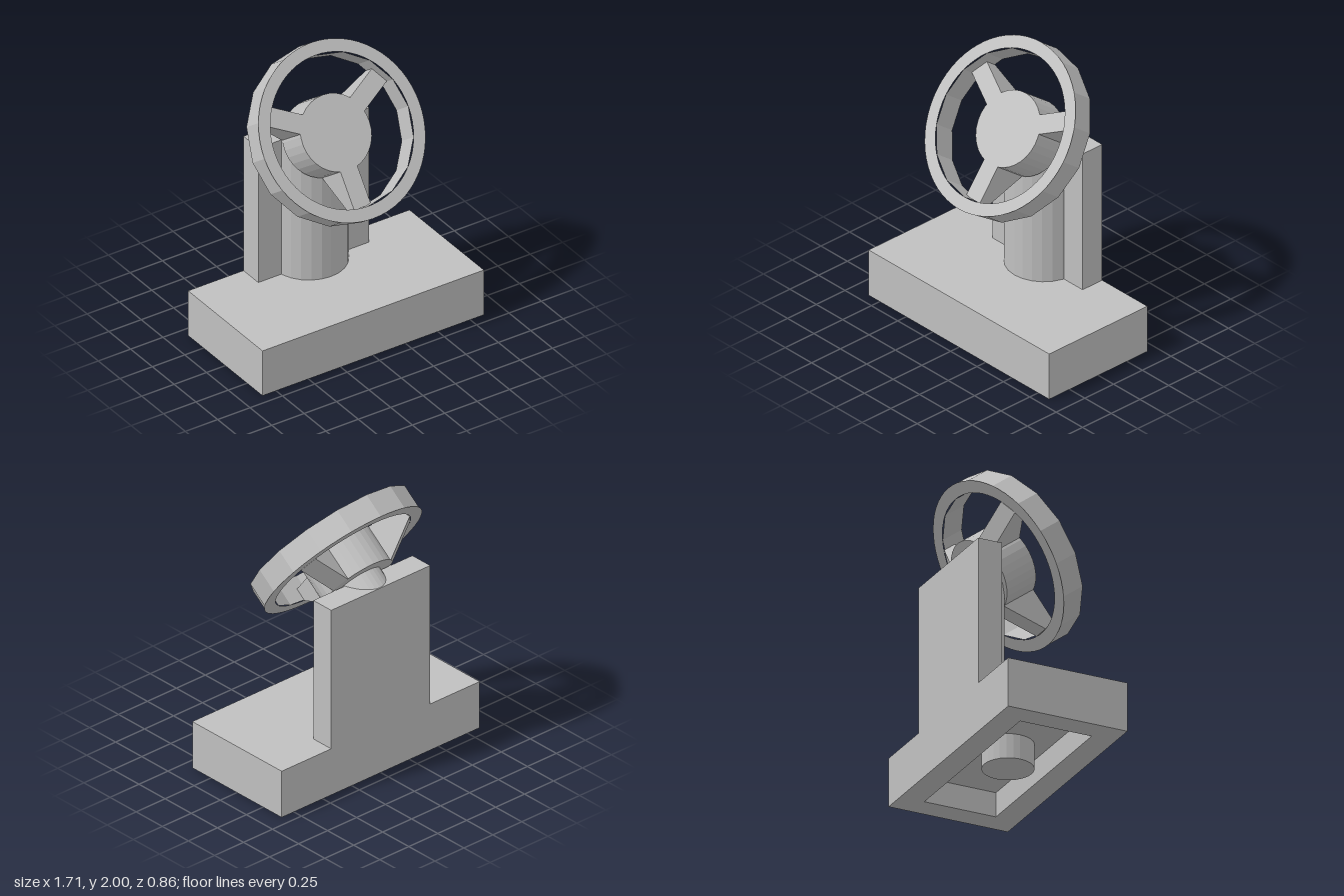
import * as THREE from 'three';

const U = 0.171; // wall thickness shared by most parts
const TILT = THREE.MathUtils.degToRad(37);
const HUB_Y = 1.471, HUB_DEPTH = 0.26, HUB_R = 1.5 * U;

export function createModel() {
  const model = new THREE.Group();
  model.name = 'handwheelOnStand';
  const grey = new THREE.MeshStandardMaterial({ color: 0xc0c0c0, flatShading: true });
  grey.name = 'light grey';

  const add = (parent, name, geometry, x = 0, y = 0, z = 0) => {
    const mesh = new THREE.Mesh(geometry, grey);
    mesh.name = name;
    mesh.position.set(x, y, z);
    parent.add(mesh);
    return mesh;
  };
  const rectangle = (Type, w, d) => new Type([
    new THREE.Vector2(-w, -d), new THREE.Vector2(w, -d),
    new THREE.Vector2(w, d), new THREE.Vector2(-w, d),
  ]);

  // Base: solid top slab over a hollow frame with a central boss
  const frame = rectangle(THREE.Shape, 5 * U, 2.5 * U);
  frame.holes.push(rectangle(THREE.Path, 4 * U, 1.5 * U));
  add(model, 'baseFrame', new THREE.ExtrudeGeometry(frame, { depth: U, bevelEnabled: false }).rotateX(-Math.PI / 2));
  add(model, 'baseTop', new THREE.BoxGeometry(10 * U, U, 5 * U), 0, 1.5 * U, 0);
  add(model, 'baseBoss', new THREE.CylinderGeometry(U, U, U, 24), 0, U / 2, 0);

  // Upright plate flush with the back of the base
  add(model, 'backPlate', new THREE.BoxGeometry(5 * U, 6 * U, U), 0, 5 * U, -2 * U);

  // Rounded column, its top cut parallel to the back of the hub
  const column = new THREE.CylinderGeometry(HUB_R, HUB_R, 1, 24);
  const p = column.attributes.position;
  const slope = Math.cos(TILT) / Math.sin(TILT);
  const cutY = HUB_Y - HUB_DEPTH / Math.sin(TILT);
  for (let i = 0; i < p.count; i++) {
    const z = Math.max(p.getZ(i) - 0.312, -0.41);
    const y = p.getY(i) > 0 ? Math.min(cutY - z * slope, 8 * U - 0.002) : 2 * U;
    p.setXYZ(i, p.getX(i), y, z);
  }
  column.computeVertexNormals();
  add(model, 'column', column);

  // Tilted wheel, with its axis along local z
  const wheel = new THREE.Group();
  wheel.name = 'wheel';
  wheel.position.y = HUB_Y;
  wheel.rotation.x = -TILT;
  model.add(wheel);

  const disc = (r, front, back, sides) =>
    new THREE.CylinderGeometry(r, r, front - back, sides).rotateX(Math.PI / 2).translate(0, 0, (front + back) / 2);
  add(wheel, 'hub', disc(HUB_R, 0, -HUB_DEPTH, 32));
  add(wheel, 'shaft', disc(U, -0.1, -0.4, 32));

  // Rim: coarse inner and outer walls, round front and back faces
  const R = 3.5 * U, r = 3 * U, h = U / 2;
  const wall = (a, za, b, zb) => new THREE.LatheGeometry(
    [new THREE.Vector2(a, za), new THREE.Vector2(b, zb)], 16).rotateX(Math.PI / 2);
  add(wheel, 'rimOuterWall', wall(R, -h, R, h));
  add(wheel, 'rimInnerWall', wall(r, h, r, -h));
  add(wheel, 'rimFront', new THREE.RingGeometry(r, R, 64), 0, 0, h);
  add(wheel, 'rimBack', new THREE.RingGeometry(r, R, 64).rotateY(Math.PI), 0, 0, -h);

  // Three spokes, deep at the hub and thin at the rim
  const profile = new THREE.Shape([
    [0.24, 0], [0.24, -HUB_DEPTH], [HUB_R, -HUB_DEPTH], [0.508, -h], [0.508, 0],
  ].map(([x, y]) => new THREE.Vector2(x, y)));
  const width = 0.13;
  const spoke = new THREE.ExtrudeGeometry(profile, { depth: width, bevelEnabled: false })
    .translate(0, 0, -width / 2).rotateX(Math.PI / 2);
  for (const angle of [30, 150, 270]) {
    add(wheel, 'spoke', spoke).rotation.z = THREE.MathUtils.degToRad(angle);
  }
  return model;
}
